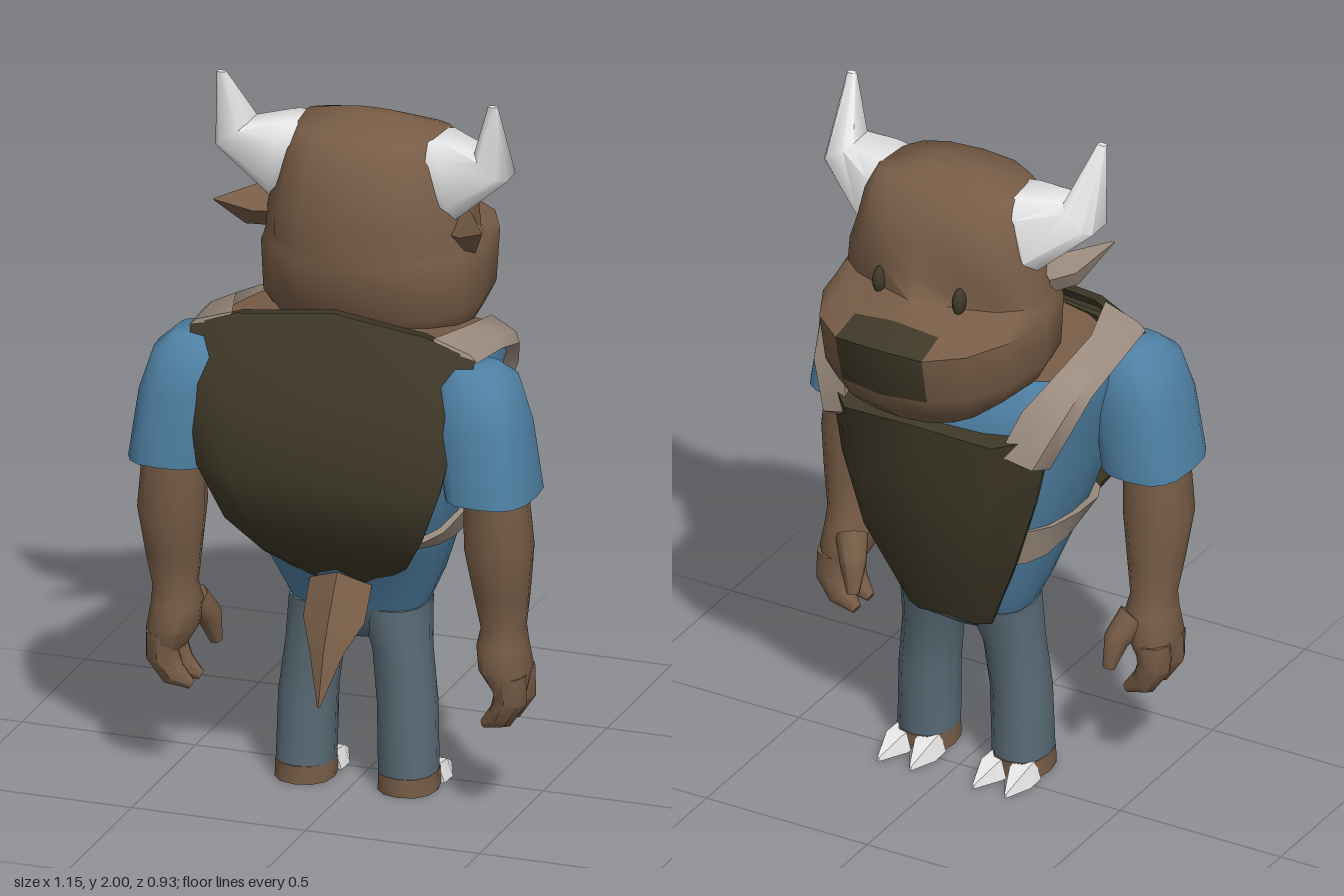
import * as THREE from 'three';
import { toCreasedNormals } from 'three/addons/utils/BufferGeometryUtils.js';

const mat = (name, color) => {
  const m = new THREE.MeshStandardMaterial({ color });
  m.name = name;
  return m;
};

// Skins a list of closed rings of [x, y, z] points and caps both ends.
// pick(row, col) selects a material index; the caps are row -1 and the last row.
function loft(rings, pick = () => 0, crease = 0.8) {
  const faces = [];
  const n = rings[0].length, last = rings.length - 1;
  const add = (row, col, a, b, c) => {
    const k = pick(row, col);
    (faces[k] ??= []).push(a, b, c);
  };
  for (let r = 0; r < last; r++) {
    for (let i = 0; i < n; i++) {
      const j = (i + 1) % n;
      const [a, b, c, d] = [rings[r][i], rings[r][j], rings[r + 1][j], rings[r + 1][i]];
      add(r, i, a, b, c);
      add(r, i, a, c, d);
    }
  }
  const middle = (ring) => [0, 1, 2].map((k) => ring.reduce((s, p) => s + p[k], 0) / n);
  const m0 = middle(rings[0]), m1 = middle(rings[last]);
  for (let i = 0; i < n; i++) {
    const j = (i + 1) % n;
    add(-1, i, m0, rings[0][j], rings[0][i]);
    add(last, i, m1, rings[last][i], rings[last][j]);
  }
  // Turn every face outward, using the signed volume
  const V = (p) => new THREE.Vector3(...p);
  let volume = 0;
  for (const f of faces) for (let i = 0; f && i < f.length; i += 3) {
    volume += V(f[i]).dot(V(f[i + 1]).cross(V(f[i + 2])));
  }
  const geo = new THREE.BufferGeometry();
  const pos = [];
  faces.forEach((f, k) => {
    geo.addGroup(pos.length / 3, f.length, k);
    for (let i = 0; i < f.length; i += 3) {
      pos.push(...f[i], ...(volume < 0 ? [...f[i + 2], ...f[i + 1]] : [...f[i + 1], ...f[i + 2]]));
    }
  });
  geo.setAttribute('position', new THREE.Float32BufferAttribute(pos, 3));
  return toCreasedNormals(geo, crease);
}

// Rounded horizontal ring; angle 0 is at the face side (-z)
function ring(y, w, zf, zb, { cx = 0, cz = (zf + zb) / 2, tilt = 0, e = 2.3, n = 16 } = {}) {
  const pw = (v) => Math.sign(v) * Math.abs(v) ** (2 / e);
  return Array.from({ length: n }, (_, i) => {
    const t = (i / n) * Math.PI * 2;
    const c = pw(Math.cos(t));
    const z = cz + c * (c > 0 ? zf - cz : cz - zb);
    return [cx + w * pw(Math.sin(t)), y + tilt * z, z];
  });
}

// Tapered limb through [x, y, z, radius] points, with rings across the path
function taper(points, n = 8) {
  const P = points.map((p) => new THREE.Vector3(p[0], p[1], p[2]));
  return P.map((p, i) => {
    const dir = P[Math.min(i + 1, P.length - 1)].clone().sub(P[Math.max(i - 1, 0)]).normalize();
    const q = new THREE.Vector3(0, 0, 1);
    q.addScaledVector(dir, -q.dot(dir)).normalize();
    const s = dir.clone().cross(q);
    return Array.from({ length: n }, (_, k) => {
      const a = (k / n) * Math.PI * 2, r = points[i][3];
      return p.clone().addScaledVector(q, Math.cos(a) * r).addScaledVector(s, Math.sin(a) * r).toArray();
    });
  });
}

// Curved armour plate from rows of [y, half width, edge z, middle z]
function plate(rows, thick, drop) {
  return rows.map(([y, w, ze, zm], r) => {
    const cols = [[-1, ze, 1], [-0.66, zm, 0.35], [0, zm - thick * 0.4, 0], [0.66, zm, 0.35], [1, ze, 1]]
      .map(([x, z, d]) => [x * w, y - (r === 0 ? d * drop : 0), z]);
    return [...cols, ...cols.slice().reverse().map(([x, y, z]) => [x * 0.98, y, z - thick])];
  });
}

export function createModel() {
  const root = new THREE.Group();
  const fur = mat('brown fur', 0x785d47), shirt = mat('blue cloth', 0x4f81a4);
  const jeans = mat('slate trousers', 0x596a75), white = mat('horn white', 0xe6e6e6);
  const dark = mat('dark hide', 0x3f3928), strap = mat('taupe strap', 0x9b8b7e);
  const put = (name, geometry, material) => {
    const m = new THREE.Mesh(geometry, material);
    m.name = name;
    root.add(m);
    return m;
  };

  // Head with wide muzzle and raised nose bridge; the nose pad is a patch of its front faces
  const headRows = [
    [1.22, 0.08, -0.26, -0.14], [1.25, 0.19, -0.33, -0.02], [1.31, 0.275, -0.4, 0.14],
    [1.37, 0.305, -0.43, 0.205], [1.515, 0.31, -0.467, 0.22], [1.54, 0.3, -0.36, 0.22],
    [1.56, 0.295, -0.215, 0.22], [1.64, 0.28, -0.215, 0.215], [1.71, 0.255, -0.22, 0.205],
    [1.8, 0.238, -0.19, 0.175], [1.855, 0.212, -0.13, 0.13], [1.89, 0.08, -0.06, 0.02],
  ].map(([y, w, f, b], r) => ring(y, w, f, b, {
    cz: Math.max(f + 0.03, -0.06 - (y < 1.3 ? 0.1 : 0)), e: y > 1.6 ? 2.7 : 2.3,
  }).map(([x, py, z], c) => (c === 0 ? [x, py + [0.015, 0.025, 0.03][r - 4] || py, z - (r === 6 ? 0.065 : r === 7 ? 0.035 : 0)] : [x, py, z])));
  put('head', loft(headRows, (r, c) => ((r === 3 || r === 4) && (c === 0 || c === 15) ? 1 : 0), 0.9), [fur, dark]);

  // Torso with bare neck on top
  const torsoRows = [
    [0.53, 0.19, -0.06, 0.18, 0], [0.61, 0.225, -0.095, 0.22, 0], [0.73, 0.265, -0.125, 0.3, 0],
    [0.85, 0.3, -0.165, 0.38, 0], [1.0, 0.345, -0.18, 0.42, 0], [1.15, 0.37, -0.18, 0.38, 0],
    [1.25, 0.395, -0.165, 0.315, 0.1], [1.325, 0.375, -0.11, 0.265, 0.15],
  ].map(([y, w, f, b, tilt]) => ring(y, w, f, b, { tilt, e: 3, n: 20 }));
  put('torso', loft(torsoRows, (r) => (r === 7 ? 1 : 0)), [shirt, fur]);

  // Waist strap between the plates
  put('waistStrap', loft([
    ring(0.735, 0.282, -0.13, 0.325, { e: 3, n: 20, tilt: 0.1 }),
    ring(0.835, 0.31, -0.165, 0.375, { e: 3, n: 20, tilt: -0.13 }),
  ]), strap);

  // Back shell and chest plate
  put('backShell', loft(plate([
    [1.42, 0.41, 0.285, 0.3], [1.2, 0.392, 0.365, 0.41], [0.98, 0.35, 0.405, 0.465],
    [0.82, 0.283, 0.365, 0.415], [0.7, 0.205, 0.27, 0.305], [0.61, 0.085, 0.19, 0.21],
  ], 0.03, 0.085), undefined, 0.95), dark);
  put('chestPlate', loft(plate([
    [1.16, 0.345, -0.105, -0.228], [0.95, 0.3, -0.115, -0.212],
    [0.74, 0.235, -0.11, -0.165], [0.5, 0.128, -0.05, -0.075],
  ], -0.025, -0.01), undefined, 1.1), dark);

  // Hips and tail
  put('hips', loft([
    ring(0.43, 0.07, 0.02, 0.13), ring(0.47, 0.165, -0.035, 0.165), ring(0.56, 0.2, -0.07, 0.19),
  ]), jeans);
  put('tail', loft([[0.66, 0.2, 0.09], [0.53, 0.28, 0.088], [0.46, 0.335, 0.05], [0.32, 0.4, 0.004]]
    .map(([y, z, w]) => [[-w, y, z], [0, y + w * 0.1, z + w * 0.5], [w, y, z], [0, y - w * 0.4, z - w * 0.5]])), fur);

  for (const s of [1, -1]) {
    const side = s > 0 ? 'left' : 'right';
    const flip = (rings) => rings.map((r) => r.map(([x, y, z]) => [x * s, y, z]));
    const part = (name, rings, material, pick, crease) => put(side + name, loft(flip(rings), pick, crease), material);

    // Horn with a broad, squarish base, bent sharply upward
    const oval = (cx, cy, cz, ax, ay, rz) => Array.from({ length: 8 }, (_, i) => {
      const t = ((i + 0.5) / 8) * Math.PI * 2;
      const [c, d] = [Math.cos(t), Math.sin(t)].map((v) => Math.sign(v) * Math.abs(v) ** 0.6);
      return [cx + ax * c, cy + ay * c, cz + rz * d];
    });
    part('Horn', [
      oval(0.19, 1.75, -0.005, -0.01, 0.11, 0.1), oval(0.245, 1.75, -0.005, -0.022, 0.115, 0.104),
      oval(0.372, 1.81, 0.03, -0.048, 0.038, 0.068), oval(0.39, 2.0, 0.095, -0.013, 0, 0.009),
    ], white, undefined, 1);

    // Ear with a paler front
    part('Ear', [[0.27, 1.6, 0.02, 0.058], [0.325, 1.612, 0.07, 0.054], [0.385, 1.657, 0.17, 0.003]]
      .map(([x, y, z, r]) => [[x - r * 0.3, y + r, z - r * 0.5], [x + r * 0.3, y, z - r * 0.6],
        [x + r * 0.1, y - r, z], [x - r * 0.5, y, z + r * 0.7]]), [fur, strap], (r, c) => (c < 2 ? 1 : 0));

    // Eye
    const eye = put(side + 'Eye', new THREE.SphereGeometry(1, 10, 8), dark);
    eye.scale.set(0.018, 0.04, 0.025);
    eye.position.set(s * 0.124, 1.588, -0.218);

    // Shoulder strap: inner edge, outer edge and a short fold over the side
    part('ShoulderStrap', [
      [1.385, 0.285, 0.29, 0.415], [1.375, 0.12, 0.34, 0.43], [1.335, -0.06, 0.33, 0.425],
      [1.255, -0.15, 0.28, 0.4], [1.13, -0.2, 0.235, 0.345],
    ].map(([y, z, x0, x1], i) => {
      const back = [0, 0.01, 0.04, 0.07, 0.09][i];
      return [[x0, y, z], [x1 - 0.02, y - 0.035, z + back * 0.3], [x1, y - 0.055, z + back], [x0, y - 0.07, z + 0.05]];
    }), strap);

    // Sleeve
    part('Sleeve', [
      [1.315, 0.4, 0.06, 0.19, 0.32], [1.27, 0.41, 0.1, 0.14, 0.37], [1.15, 0.425, 0.123, 0.123, 0.398],
      [0.955, 0.455, 0.121, 0.113, 0.41],
    ].map(([y, cx, w, f, b]) => ring(y, w, f, b, { cx, n: 16, e: 2.9 })), shirt);

    // Arm and palm
    part('Arm', [
      [1.0, 0.46, 0.085, 0.18, 0.355], [0.8, 0.47, 0.093, 0.165, 0.36], [0.66, 0.472, 0.075, 0.165, 0.325],
      [0.56, 0.472, 0.06, 0.165, 0.3], [0.51, 0.468, 0.068, 0.15, 0.31], [0.44, 0.478, 0.07, 0.14, 0.32],
      [0.38, 0.49, 0.045, 0.15, 0.3],
    ].map(([y, cx, w, f, b]) => ring(y, w, f, b, { cx, n: 12 })), fur);

    // Two thick fingers curled inward, and thumb
    [0.262, 0.188].forEach((z, i) => part('Finger' + (i + 1), taper([
      [0.495, 0.43, z, 0.052], [0.5, 0.36, z - 0.003, 0.048], [0.47, 0.305, z - 0.008, 0.038], [0.42, 0.275, z - 0.015, 0.014],
    ]), fur));
    part('Thumb', taper([
      [0.44, 0.5, 0.18, 0.045], [0.41, 0.44, 0.135, 0.037], [0.398, 0.36, 0.115, 0.018],
    ]), fur);

    // Leg and foot
    part('Leg', [
      [0.05, 0.147, 0.08, 0.0, 0.182], [0.25, 0.142, 0.08, 0.0, 0.175],
      [0.4, 0.125, 0.078, -0.015, 0.172], [0.53, 0.1, 0.096, -0.055, 0.18],
    ].map(([y, cx, w, f, b]) => ring(y, w, f, b, { cx, n: 12 })), jeans);
    part('Foot', [[0, 0.082], [0.052, 0.08]].map(([y, w]) => ring(y, w, -0.005, 0.185, { cx: 0.148, n: 12 })), fur);

    // Two broad toe claws
    [-1, 1].forEach((t, i) => part('Claw' + (i + 1), [[0.04, 0.045, 0.053], [-0.02, 0.041, 0.05], [-0.098, 0.004, 0.012]]
      .map(([z, w, h], k) => {
        const x = 0.148 + t * (0.038 + k * 0.006);
        return [[x - w, 0.001, z], [x - w * 0.6, h, z], [x + w * 0.6, h, z], [x + w, 0.001, z]];
      }), white));
  }
  return root;
}
